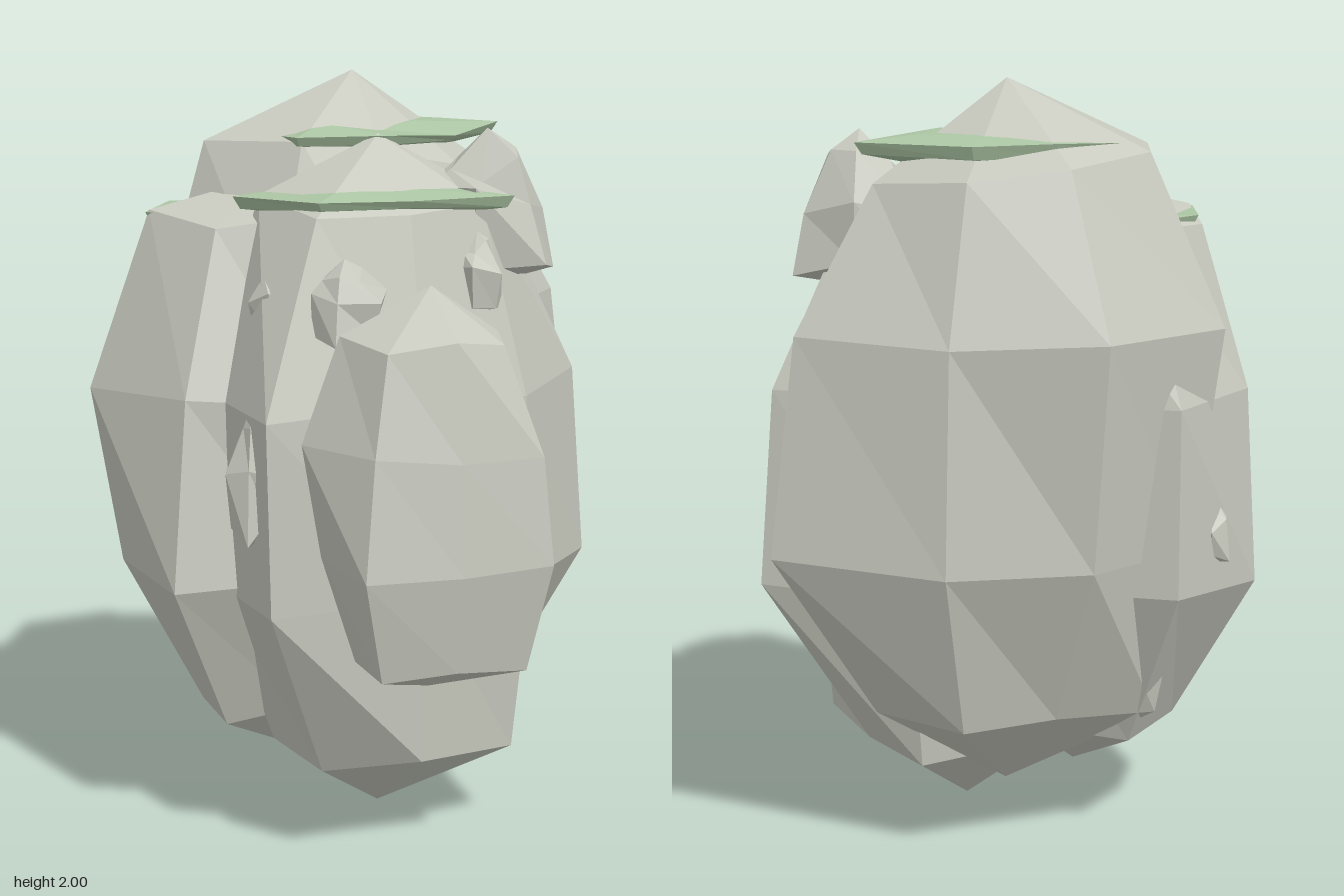
import * as THREE from 'three';

const stone = new THREE.MeshStandardMaterial({ color: 0xc7c9be, flatShading: true });
stone.name = 'stone grey';
const moss = new THREE.MeshStandardMaterial({ color: 0xabc5a3, flatShading: true });
moss.name = 'moss green';

// Small seeded noise in -1..1
function noise(seed) {
  let s = seed * 7919 + 17;
  return () => {
    s = (s * 16807) % 2147483647;
    return (s / 2147483647) * 2 - 1;
  };
}

// Faceted lump: rings of radii between a top and a bottom point.
// Each ring starts at +x and turns through +z; heights run top, rings, bottom.
// tilt raises the -x side and lowers the +x side of the first ring.
function lump(name, material, [cx, cz], heights, rings, { jitter = 0.02, seed = 1, tilt = 0 }) {
  const rnd = noise(seed);
  const n = rings[0].length;
  const pos = [cx, heights[0], cz];
  rings.forEach((ring, j) => {
    ring.forEach((r, i) => {
      const t = (i / n) * Math.PI * 2;
      const lean = j === 0 ? -tilt * Math.cos(t) : 0;
      pos.push(cx + r * Math.cos(t), heights[j + 1] + lean + jitter * rnd(), cz + r * Math.sin(t));
    });
  });
  pos.push(cx, heights[rings.length + 1], cz);

  const index = [];
  const at = (j, i) => 1 + j * n + (i % n);
  const low = rings.length - 1, last = 1 + rings.length * n;
  for (let i = 0; i < n; i++) {
    index.push(0, at(0, i + 1), at(0, i));
    for (let j = 0; j < low; j++) {
      const a = at(j, i), b = at(j + 1, i), c = at(j, i + 1), d = at(j + 1, i + 1);
      index.push(a, c, b, c, d, b);
    }
    index.push(at(low, i), at(low, i + 1), last);
  }
  const geo = new THREE.BufferGeometry();
  geo.setAttribute('position', new THREE.Float32BufferAttribute(pos, 3));
  geo.setIndex(index);
  const flat = geo.toNonIndexed();
  flat.computeVertexNormals();
  const mesh = new THREE.Mesh(flat, material);
  mesh.name = name;
  return mesh;
}

export function createModel() {
  const group = new THREE.Group();
  group.name = 'mossyRocks';

  // Main boulders
  group.add(
    lump('backBoulder', stone, [0.04, -0.22], [2, 1.79, 1.37, 0.8, 0.36, 0.13], [
      [0.38, 0.32, 0.26, 0.3, 0.42, 0.38, 0.34, 0.33],
      [0.6, 0.46, 0.42, 0.46, 0.55, 0.58, 0.54, 0.47],
      [0.67, 0.42, 0.36, 0.4, 0.45, 0.5, 0.47, 0.5],
      [0.38, 0.25, 0.2, 0.22, 0.25, 0.41, 0.28, 0.36],
    ], { jitter: 0.01, seed: 3, tilt: 0.04 }),
    lump('middleBoulder', stone, [0.02, 0.05], [1.85, 1.68, 1.2, 0.67, 0.21, 0], [
      [0.33, 0.3, 0.25, 0.36, 0.33, 0.3, 0.28, 0.28],
      [0.57, 0.43, 0.36, 0.64, 0.48, 0.42, 0.4, 0.42],
      [0.61, 0.45, 0.38, 0.62, 0.46, 0.42, 0.4, 0.47],
      [0.3, 0.4, 0.35, 0.34, 0.3, 0.28, 0.28, 0.38],
    ], { seed: 5 }),
    lump('sideBoulder', stone, [-0.2, -0.16], [1.73, 1.63, 1.18, 0.69, 0.28, 0.13], [
      [0.28, 0.28, 0.28, 0.33, 0.35, 0.34, 0.32, 0.28],
      [0.4, 0.4, 0.4, 0.5, 0.52, 0.47, 0.54, 0.4],
      [0.4, 0.4, 0.38, 0.57, 0.44, 0.5, 0.54, 0.4],
      [0.2, 0.2, 0.2, 0.3, 0.22, 0.28, 0.3, 0.25],
    ], { seed: 8 }),
    lump('frontBoulder', stone, [0, 0.5], [1.51, 1.38, 1.12, 0.82, 0.56, 0.47], [
      [0.18, 0.2, 0.19, 0.25, 0.24, 0.2, 0.15, 0.2],
      [0.26, 0.31, 0.23, 0.32, 0.34, 0.28, 0.17, 0.24],
      [0.33, 0.34, 0.25, 0.37, 0.29, 0.28, 0.18, 0.25],
      [0.22, 0.27, 0.2, 0.28, 0.2, 0.2, 0.1, 0.15],
    ], { seed: 11 })
  );

  // Jagged stones wedged against the boulders: centre, half height, radius
  const chips = [
    [[0.31, 1.64, 0.1], 0.22, 0.18],
    [[-0.19, 1.46, 0.39], 0.11, 0.1],
    [[0.21, 1.5, 0.28], 0.11, 0.07],
    [[0.26, 1.0, 0.37], 0.18, 0.08],
    [[-0.42, 1.03, 0.36], 0.2, 0.07],
    [[-0.32, 1.45, 0.22], 0.1, 0.07],
    [[-0.37, 0.85, -0.58], 0.1, 0.05],
  ];
  chips.forEach(([[x, y, z], half, r], i) => {
    const rnd = noise(i + 21);
    const rings = [0.5, 1, 0.95].map((w) =>
      Array.from({ length: 6 }, () => r * w * (1 + 0.22 * rnd())));
    const heights = [1, 0.6, 0.15, -0.75, -0.9].map((h) => y + h * half);
    group.add(lump('smallStone', stone, [x, z], heights, rings, { jitter: half * 0.22, seed: i + 30 }));
  });

  // Flat ragged moss caps that ring each boulder's crown: centre, reach
  const caps = [
    ['backMoss', [0.04, 1.83, -0.22], [0.43, 0.31, 0.29, 0.33, 0.27, 0.33, 0.27, 0.29]],
    ['middleMoss', [0.02, 1.685, 0.05], [0.26, 0.39, 0.26, 0.35, 0.4, 0.3, 0.26, 0.28]],
    ['sideMoss', [-0.2, 1.62, -0.16], [0.25, 0.25, 0.25, 0.26, 0.36, 0.33, 0.27, 0.25]],
  ];
  caps.forEach(([name, [x, y, z], reach], i) => {
    const rings = [0.6, 1, 0.95, 0.6].map((w) => reach.map((r) => r * w));
    const heights = [0.04, 0.032, 0.012, -0.012, -0.032, -0.04].map((h) => y + h);
    group.add(lump(name, moss, [x, z], heights, rings, { jitter: 0.01, seed: 41 + i }));
  });
  return group;
}
